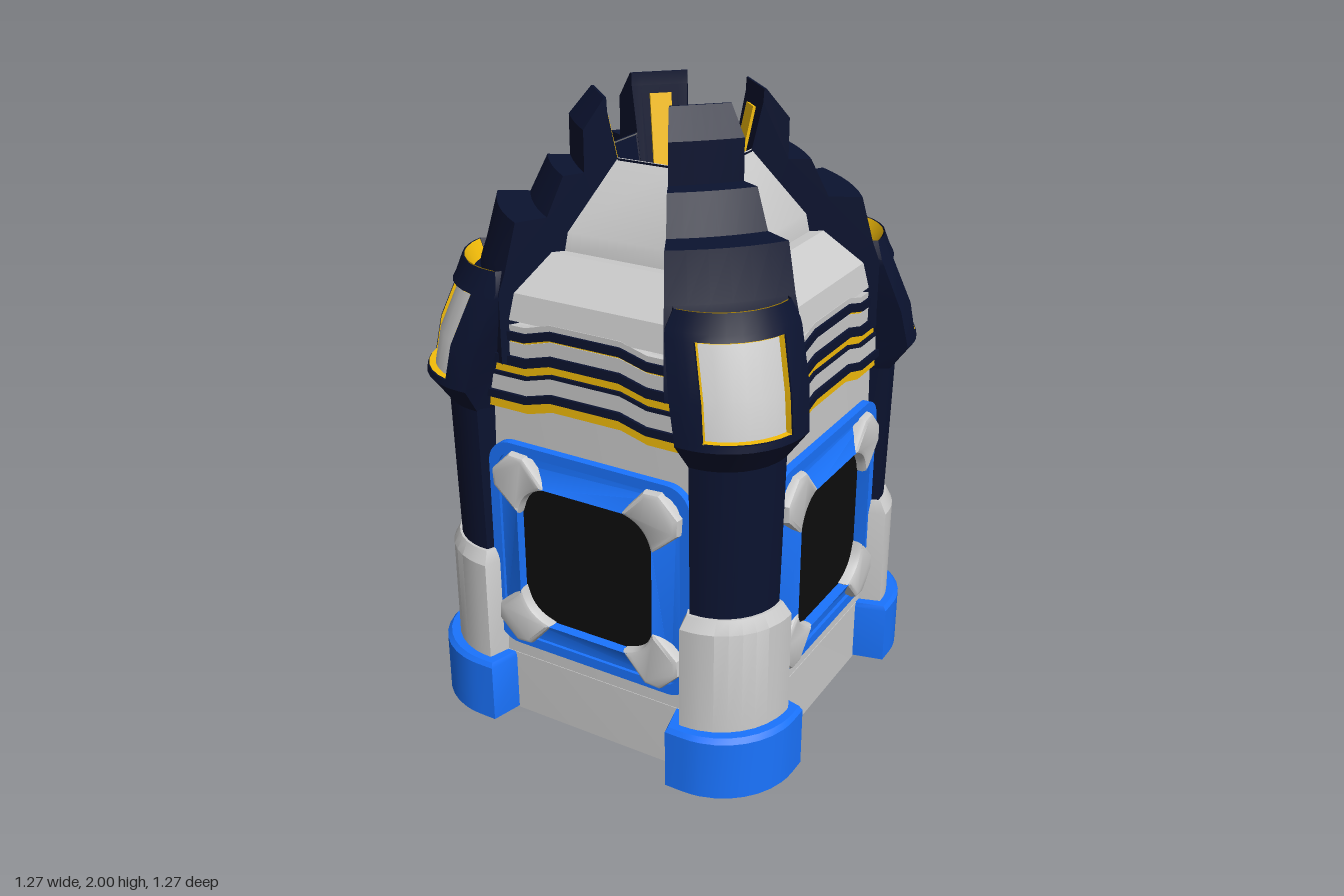
import * as THREE from 'three';
import { toCreasedNormals } from 'three/addons/utils/BufferGeometryUtils.js';

const mat = (color, side = THREE.FrontSide) => new THREE.MeshStandardMaterial({ color, side });
const GREY = mat(0xcccccc), NAVY = mat(0x0b1330), BLUE = mat(0x1a74ff), BLACK = mat(0x0d0d0d);
const GREY2 = mat(0xcccccc, THREE.DoubleSide), NAVY2 = mat(0x0b1330, THREE.DoubleSide);
const YELLOW = mat(0xf5be0a, THREE.DoubleSide);

function add(parent, name, geo, material) {
  const m = new THREE.Mesh(toCreasedNormals(geo, 0.5), material);
  m.name = name;
  parent.add(m);
  return m;
}

function fromTriangles(pos) {
  const g = new THREE.BufferGeometry();
  g.setAttribute('position', new THREE.Float32BufferAttribute(pos, 3));
  return g;
}

// Rounded square outline, used for shapes and holes
function roundedSquare(h, r, Type = THREE.Shape) {
  const s = new Type();
  s.moveTo(h, r - h);
  [[h, h], [-h, h], [-h, -h], [h, -h]].forEach(([x, y], i) => {
    const a = (i * Math.PI) / 2;
    s.absarc(x - Math.sign(x) * r, y - Math.sign(y) * r, r, a, a + Math.PI / 2, false);
  });
  return s;
}

const polygon = (pts) => new THREE.Shape(pts.map((q) => new THREE.Vector2(...q)));
const extrude = (shape, depth, z, steps = 1) =>
  new THREE.ExtrudeGeometry(shape, { depth, steps, bevelEnabled: false, curveSegments: 6 }).translate(0, 0, z);

// Rounded corner arc from the front face round to the side face
function arc(h, r, y, from = 0, to = 1, n = 8) {
  return Array.from({ length: n + 1 }, (_, i) => {
    const a = ((from + ((to - from) * i) / n) * Math.PI) / 2;
    return [h - r + r * Math.sin(a), y, h - r + r * Math.cos(a)];
  });
}

// Horizontal section that wraps a corner: half-size h, starting at distance s from the middle,
// with the middle of the arc set back by d
const ARC0 = 0.15, ARC1 = 0.85;
function wrapSection([y, h, s, d = 0]) {
  const r = Math.min(0.25, h - s - 0.025);
  return [[0.3, y, 0.3], [s - 0.02, y, 0.49], [s + 0.015, y, h], ...arc(h, r, y, 0, ARC0, 2),
    ...arc(h - d, r - d, y, ARC0, ARC1, 6), ...arc(h, r, y, ARC1, 1, 2), [h, y, s + 0.015], [0.49, y, s - 0.02]];
}

function bridge(rows, closed) {
  const pos = [], n = rows[0].length;
  for (let j = 0; j < rows.length - 1; j++)
    for (let i = 0; i < (closed ? n : n - 1); i++) {
      const k = (i + 1) % n, [a, b, c, d] = [rows[j][i], rows[j][k], rows[j + 1][k], rows[j + 1][i]];
      pos.push(...a, ...b, ...c, ...a, ...c, ...d);
    }
  return pos;
}

function loft(levels) {
  const rows = levels.map(wrapSection), pos = bridge(rows, true), n = rows[0].length;
  const bottom = rows[0], top = rows[rows.length - 1];
  for (let i = 0; i < n; i++) {
    const k = (i + 1) % n;
    pos.push(0.42, top[0][1], 0.42, ...top[i], ...top[k]);
    pos.push(0.42, bottom[0][1], 0.42, ...bottom[k], ...bottom[i]);
  }
  return fromTriangles(pos);
}

// Corner pillar with foot, shoulder and stepped fin
function makeCorner() {
  const g = new THREE.Group();
  g.name = 'cornerPillar';
  add(g, 'foot', loft([[0.008, 0.635, 0.31], [0.205, 0.635, 0.31], [0.22, 0.625, 0.315]]), BLUE);
  add(g, 'lowerPillar', loft([[0.21, 0.6, 0.34], [0.56, 0.6, 0.34], [0.6, 0.575, 0.35]]), GREY);
  add(g, 'upperPillar', loft([[0.59, 0.565, 0.355], [1.12, 0.575, 0.355]]), NAVY);

  // Shoulder with a recessed curved panel
  const R = 0.026, recess = [[1.19, 0.633, 0.341], [1.3, 0.617, 0.315], [1.455, 0.568, 0.273]];
  add(g, 'shoulder', loft([[1.08, 0.572, 0.355], [1.17, 0.636, 0.345], recess[0], ...recess.map((l) => [...l, R]), recess[2],
    [1.475, 0.56, 0.27], [1.53, 0.538, 0.285], [1.48, 0.508, 0.295]]), NAVY);
  const inset = (off) => ([y, h]) => arc(h - off, 0.25 - off, y, ARC0, ARC1, 6);
  add(g, 'shoulderPanel', fromTriangles(bridge(recess.map(inset(R - 0.003)), false)), GREY2);
  // Yellow lining on the walls of the recess
  for (const [y, h] of [[1.193, 0.633], [1.452, 0.568]])
    add(g, 'panelEdge', fromTriangles(bridge([inset(0.003)([y, h]), inset(R)([y, h])], false)), YELLOW);
  for (const t of [ARC0 + 0.008, ARC1 - 0.008]) {
    const rows = recess.map(([y, h]) => [0.003, R].map((o) => arc(h - o, 0.25 - o, y, t, 1, 1)[0]));
    add(g, 'panelEdge', fromTriangles(bridge(rows, false)), YELLOW);
  }
  add(g, 'shoulderGlow', fromTriangles(bridge([arc(0.534, 0.228, 1.53), arc(0.505, 0.188, 1.482)], false)), YELLOW);

  // Fin: stepped profile along the diagonal, widening outwards and bowed across its width
  const fin = new THREE.Group();
  fin.name = 'fin';
  fin.rotation.y = -Math.PI / 4;
  const profile = [[0.138, 1.5], [0.236, 1.96], [0.238, 2], [0.245, 2], [0.312, 1.915], [0.312, 1.79], [0.378, 1.79],
    [0.432, 1.675], [0.53, 1.675], [0.568, 1.53], [0.59, 1.47], [0.59, 1.25], [0.138, 1.25]];
  const geo = extrude(polygon(profile), 2, -1, 6), p = geo.attributes.position;
  for (let i = 0; i < p.count; i++) {
    const d = p.getX(i), t = p.getZ(i);
    p.setX(i, d + 0.07 * Math.max(0, d - 0.24) * (1 - t * t));
    p.setZ(i, t * (0.081 + (d - 0.209) * 0.3));
  }
  add(fin, 'finBody', geo, NAVY);
  const strip = add(fin, 'finGlow', new THREE.BoxGeometry(0.012, 0.38, 0.068), YELLOW);
  strip.position.set(0.188, 1.75, 0);
  strip.rotation.z = -0.21;
  g.add(fin);
  return g;
}

// Horizontal strip that steps up in the middle
function hatStrip(y0, y1, z) {
  const edge = [[-0.37, 0], [-0.21, 0], [-0.12, 0.025], [0.12, 0.025], [0.21, 0], [0.37, 0]];
  const lower = edge.map(([x, d]) => [x, y0 + d]), upper = edge.map(([x, d]) => [x, y1 + d]);
  return extrude(polygon([...lower, ...upper.reverse()]), z - 0.44, 0.44);
}

// One wall: window, banding and roof panel
function makeSide() {
  const g = new THREE.Group();
  g.name = 'wall';

  const win = new THREE.Group();
  win.name = 'window';
  win.position.y = 0.63;
  const rim = roundedSquare(0.358, 0.08);
  rim.holes.push(roundedSquare(0.325, 0.06, THREE.Path));
  add(win, 'windowRim', extrude(rim, 0.055, 0.49), BLUE);
  // Frame bars slope up towards the opening
  const bars = roundedSquare(0.326, 0.06);
  bars.holes.push(roundedSquare(0.242, 0.09, THREE.Path));
  const barGeo = extrude(bars, 0.07, 0.5), p = barGeo.attributes.position;
  for (let i = 0; i < p.count; i++)
    if (p.getZ(i) > 0.55 && Math.max(Math.abs(p.getX(i)), Math.abs(p.getY(i))) > 0.25) p.setZ(i, 0.534);
  add(win, 'windowFrame', barGeo, BLUE);
  add(win, 'opening', extrude(roundedSquare(0.25, 0.09), 0.036, 0.5), BLACK);
  const bracket = new THREE.Shape();
  bracket.moveTo(0.242, 0.14);
  [[0.325, 0.215], [0.328, 0.265], [0.265, 0.328], [0.215, 0.325], [0.14, 0.242]].forEach((q) => bracket.lineTo(...q));
  bracket.quadraticCurveTo(0.225, 0.225, 0.242, 0.14);
  for (let i = 0; i < 4; i++) {
    const geo = new THREE.ExtrudeGeometry(bracket, { depth: 0.06, bevelThickness: 0.018, bevelSize: 0.016, bevelOffset: -0.01, bevelSegments: 2 });
    add(win, 'windowBracket', geo.translate(0, 0, 0.495), GREY).rotation.z = (i * Math.PI) / 2;
  }
  g.add(win);

  // Banding above the window
  [[1.095, 1.13, 0.532, YELLOW], [1.13, 1.155, 0.546, NAVY], [1.155, 1.205, 0.536, GREY], [1.205, 1.217, 0.538, NAVY],
    [1.217, 1.245, 0.53, YELLOW], [1.245, 1.275, 0.541, NAVY], [1.275, 1.318, 0.532, GREY], [1.318, 1.325, 0.53, YELLOW],
    [1.325, 1.352, 0.538, NAVY], [1.352, 1.37, 0.53, GREY]].forEach(([y0, y1, z, m]) => add(g, 'band', hatStrip(y0, y1, z), m));

  // Roof panel, widening downwards between the fins
  const rows = [[0.44, 1.36], [0.53, 1.385], [0.512, 1.465], [0.4, 1.568], [0.362, 1.565], [0.352, 1.62], [0.2, 1.82]]
    .map(([z, y]) => [-1, 1].map((s) => [s * (0.112 + (z - 0.205) * 0.54), y, z]));
  add(g, 'roofPanel', fromTriangles(bridge(rows, false)), GREY2);

  const light = add(g, 'crownLight', new THREE.BoxGeometry(0.06, 0.075, 0.012), YELLOW);
  light.position.set(0, 1.7, 0.18);
  light.rotation.x = 0.21;
  return g;
}

export function createModel() {
  const model = new THREE.Group();
  model.name = 'tower';

  // Core body
  const slab = (h, r, y0, y1) => extrude(roundedSquare(h, r), y1 - y0, y0).rotateX(-Math.PI / 2);
  add(model, 'base', slab(0.505, 0.16, 0, 0.02), NAVY);
  add(model, 'plinth', slab(0.532, 0.16, 0.003, 0.22), GREY);
  const body = slab(0.53, 0.16, 0.22, 1.37), p = body.attributes.position;
  for (let i = 0; i < p.count; i++) if (p.getY(i) > 1) p.setXYZ(i, p.getX(i) * 0.965, p.getY(i), p.getZ(i) * 0.965);
  add(model, 'body', body, GREY);

  // Hollow octagonal crown with a dark floor
  const k = 1 / Math.cos(Math.PI / 8);
  add(model, 'crownShaft', new THREE.CylinderGeometry(0.207 * k, 0.14 * k, 0.32, 8, 1, true).rotateY(Math.PI / 8).translate(0, 1.66, 0), NAVY2);
  add(model, 'crownFloor', new THREE.CylinderGeometry(0.142 * k, 0.142 * k, 0.04, 8).rotateY(Math.PI / 8).translate(0, 1.49, 0), BLACK);

  for (let i = 0; i < 4; i++)
    for (const part of [makeCorner(), makeSide()]) {
      part.rotation.y = (i * Math.PI) / 2;
      model.add(part);
    }
  return model;
}
